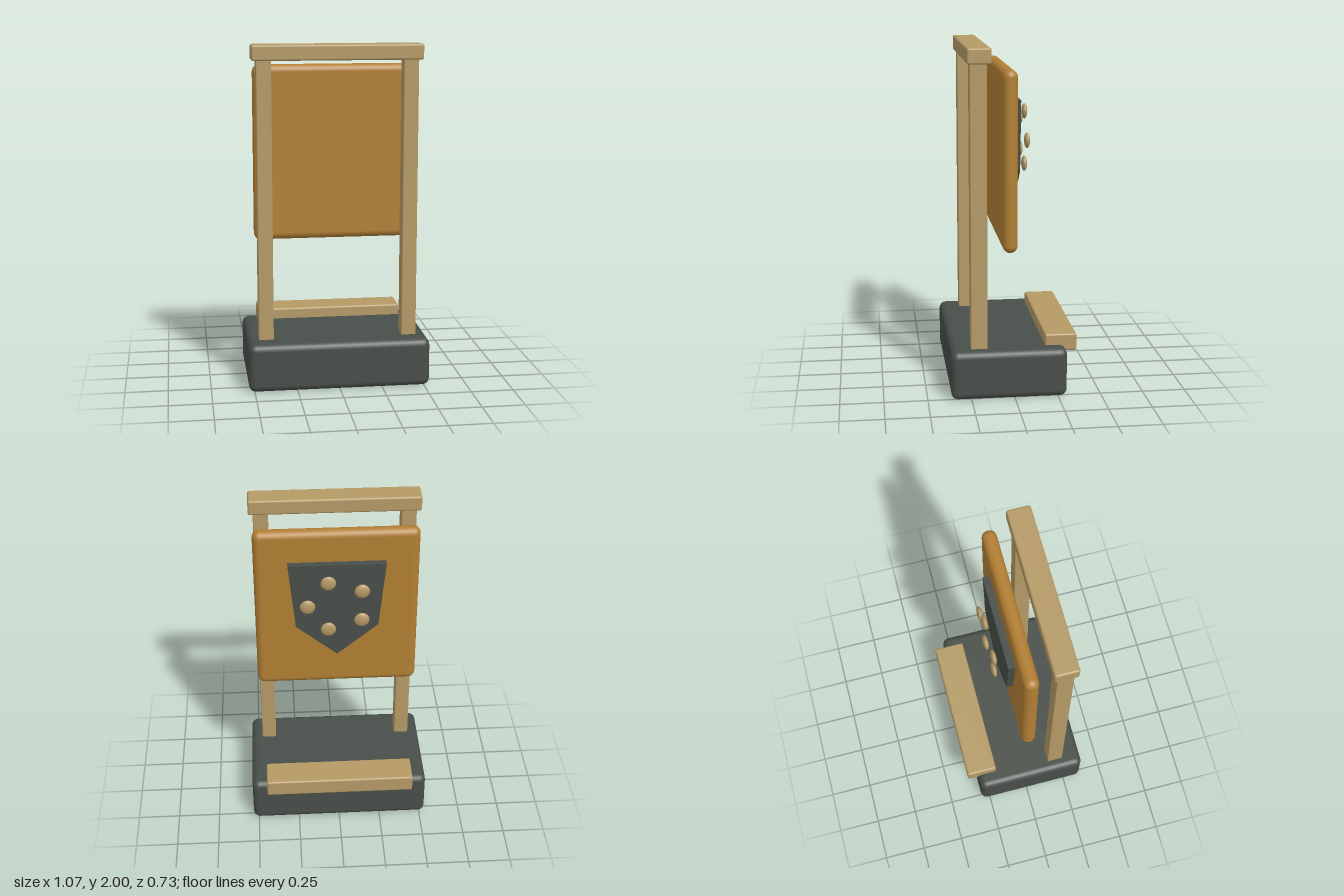
import * as THREE from 'three';
import { RoundedBoxGeometry } from 'three/addons/geometries/RoundedBoxGeometry.js';

export function createModel() {
  const group = new THREE.Group();
  const mat = (name, color) => {
    const m = new THREE.MeshStandardMaterial({ color });
    m.name = name;
    return m;
  };
  const wood = mat('pale wood', 0xb59a66);
  const amber = mat('amber panel', 0xb27f34);
  const stone = mat('dark stone', 0x484e49);

  const add = (name, geometry, material, x = 0, y = 0, z = 0) => {
    const mesh = new THREE.Mesh(geometry, material);
    mesh.name = name;
    mesh.position.set(x, y, z);
    group.add(mesh);
    return mesh;
  };
  // Rounded block given by its lower and upper limits
  const block = (name, material, [x0, x1], [y0, y1], [z0, z1], r) =>
    add(name, new RoundedBoxGeometry(x1 - x0, y1 - y0, z1 - z0, 3, r), material,
      (x0 + x1) / 2, (y0 + y1) / 2, (z0 + z1) / 2);

  // Base and step
  block('base', stone, [-0.533, 0.533], [0, 0.285], [-0.303, 0.365], 0.04);
  block('step', wood, [-0.443, 0.443], [0.247, 0.35], [-0.368, -0.183], 0.012);

  // Frame: two posts and a crossbeam
  for (const [name, s] of [['leftPost', 1], ['rightPost', -1]])
    block(name, wood, [s * 0.4225 - 0.0435, s * 0.4225 + 0.0435], [0.27, 1.925], [0.152, 0.248], 0.006);
  block('crossbeam', wood, [-0.492, 0.492], [1.91, 2], [0.127, 0.264], 0.012);

  // Hanging panel
  block('panel', amber, [-0.474, 0.474], [0.84, 1.875], [-0.023, 0.062], 0.041);

  // Pointed shield on the back of the panel
  const outline = new THREE.Shape([
    [-0.28, 1.685], [-0.24, 1.275], [0, 1.075], [0.24, 1.275], [0.28, 1.685],
  ].map(([x, y]) => new THREE.Vector2(x, y)));
  add('shield', new THREE.ExtrudeGeometry(outline, { depth: 0.045, bevelEnabled: false }), stone, 0, 0, -0.062);

  // Ring of five flattened studs
  const studGeometry = new THREE.SphereGeometry(0.045, 12, 8);
  for (let i = 0; i < 5; i++) {
    const a = (i / 5) * Math.PI * 2;
    const stud = add('stud' + (i + 1), studGeometry, wood,
      0.172 * Math.cos(a), 1.44 + 0.172 * Math.sin(a) * 0.95, -0.11);
    stud.scale.z = 0.38;
  }
  return group;
}
